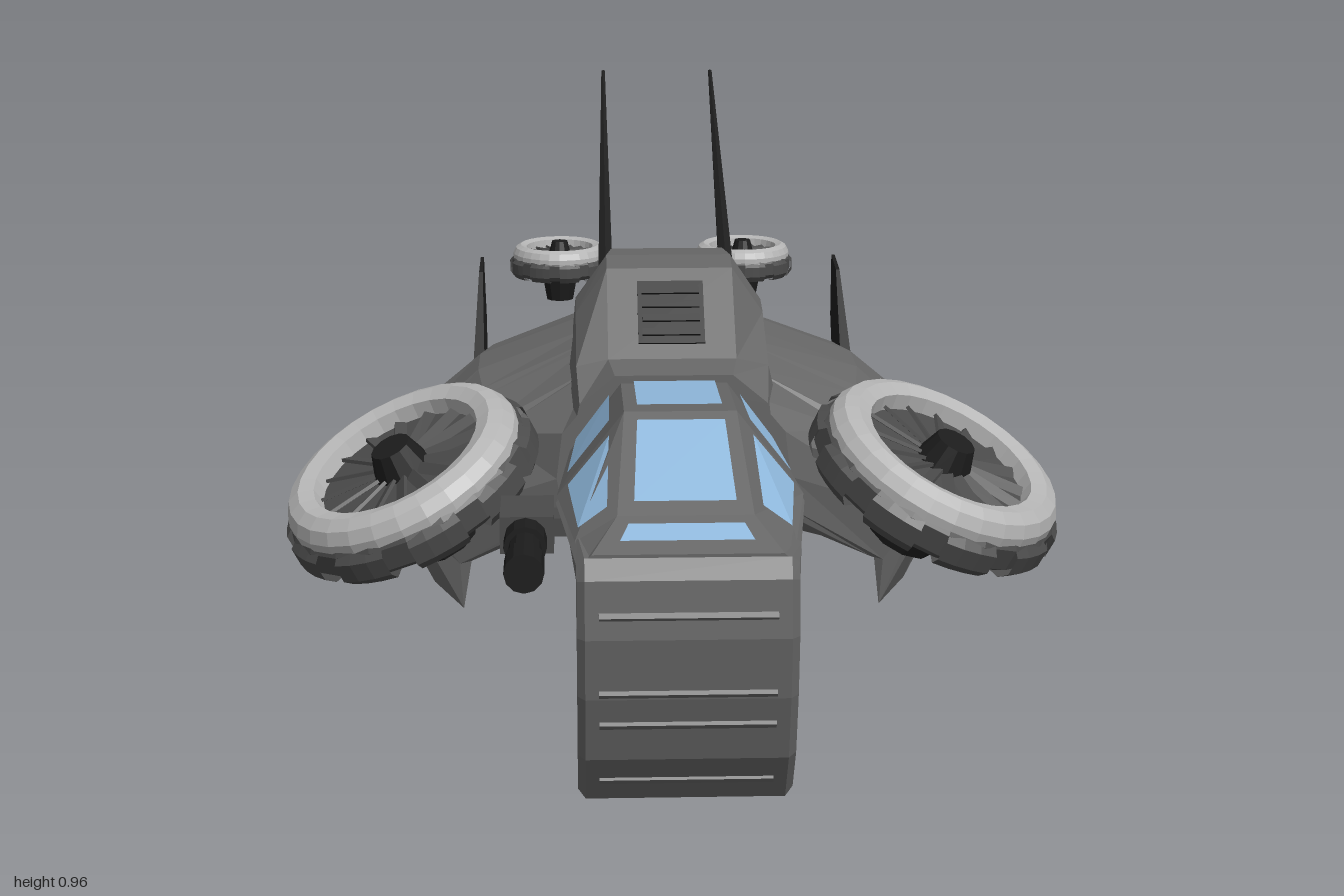
import * as THREE from 'three';

const mat = (color, side = THREE.FrontSide) =>
  new THREE.MeshStandardMaterial({ color, side, flatShading: true });
const BODY = mat(0x666666, THREE.DoubleSide), DARK = mat(0x4a4a4a, THREE.DoubleSide), BLACK = mat(0x1c1c1c);
const RING = mat(0xb4b4b4), GLASS = mat(0x8fb8dc, THREE.DoubleSide);

function add(parent, name, geometry, material, x = 0, y = 0, z = 0) {
  const mesh = new THREE.Mesh(geometry, material);
  mesh.name = name;
  mesh.position.set(x, y, z);
  parent.add(mesh);
  return mesh;
}

// Closed loft: rings run counter-clockwise seen from the front, ordered front to back
function loft(rings) {
  const n = rings[0].pts.length, pos = [], index = [];
  rings.forEach(({ z, pts }) => pts.forEach(([x, y]) => pos.push(x, y, z)));
  for (let i = 0; i < rings.length - 1; i++) {
    for (let j = 0; j < n; j++) {
      const a = i * n + j, b = i * n + (j + 1) % n, c = b + n, d = a + n;
      index.push(a, d, b, b, d, c);
    }
  }
  const cap = (k, flip) => {
    const contour = rings[k].pts.map(([x, y]) => new THREE.Vector2(x, y));
    for (const [a, b, c] of THREE.ShapeUtils.triangulateShape(contour, []))
      index.push(k * n + a, k * n + (flip ? c : b), k * n + (flip ? b : c));
  };
  cap(0, false);
  cap(rings.length - 1, true);
  const g = new THREE.BufferGeometry();
  g.setAttribute('position', new THREE.Float32BufferAttribute(pos, 3));
  g.setIndex(index);
  g.computeVertexNormals();
  return g;
}

// Full ring from the right half, listed bottom to top
const mirrorRing = (half) => [...half, ...half.map(([x, y]) => [-x, y]).reverse()];

// Plate with a (z, y) outline, centred on x = 0
function plate(points, width, bevel = 0) {
  const shape = new THREE.Shape(points.map(([z, y]) => new THREE.Vector2(z, y)));
  const g = new THREE.ExtrudeGeometry(shape, {
    depth: width - 2 * bevel, bevelEnabled: bevel > 0, bevelSize: bevel,
    bevelThickness: bevel, bevelOffset: -bevel, bevelSegments: 1,
  });
  return g.translate(0, 0, bevel - width / 2).rotateY(-Math.PI / 2);
}

// Window pane inset in a four-cornered facet and lifted off it
function pane(parent, corners, u0, v0) {
  const p = corners.map((c) => new THREE.Vector3(...c));
  const at = (u, v) => p[0].clone().lerp(p[1], u).lerp(p[3].clone().lerp(p[2], u), v);
  const normal = p[2].clone().sub(p[0]).cross(p[3].clone().sub(p[1])).normalize();
  if (normal.y < 0) normal.negate();
  const q = [[u0, v0], [1 - u0, v0], [1 - u0, 1 - v0], [u0, 1 - v0]]
    .map(([u, v]) => at(u, v).addScaledVector(normal, 0.006));
  const g = new THREE.BufferGeometry().setFromPoints([q[0], q[1], q[2], q[0], q[2], q[3]]);
  g.computeVertexNormals();
  add(parent, 'windowPane', g, GLASS);
}

// Ducted fan with its axis along y
function fan(name, radius) {
  const g = new THREE.Group();
  g.name = name;
  const lathe = (pts, seg, ...arc) =>
    new THREE.LatheGeometry(pts.map(([x, y]) => new THREE.Vector2(x, y)), seg, ...arc);
  add(g, 'fanRing', lathe([[0.213, -0.01], [0.212, 0.02], [0.2, 0.04], [0.178, 0.05], [0.152, 0.042], [0.146, 0.01]], 28), RING);
  add(g, 'fanShroud', lathe([[0, -0.055], [0.2, -0.055], [0.218, -0.04], [0.218, 0], [0.205, 0.015]], 20), DARK);
  add(g, 'fanFloor', new THREE.CylinderGeometry(0.15, 0.15, 0.05, 28), DARK, 0, -0.01, 0);
  for (let i = 0; i < 10; i++)
    add(g, 'shroudLug', lathe([[0.18, -0.062], [0.212, -0.06], [0.228, -0.042], [0.228, -0.008], [0.212, 0.004]],
      3, (i / 10) * Math.PI * 2, 0.42), DARK);
  for (let i = 0; i < 16; i++) {
    const a = (i / 16) * Math.PI * 2;
    const blade = add(g, 'fanBlade', new THREE.BoxGeometry(0.1, 0.006, 0.022), DARK, Math.cos(a) * 0.097, 0.017, Math.sin(a) * 0.097);
    blade.rotation.set(0.5, -a, 0, 'YXZ');
  }
  add(g, 'fanHub', new THREE.CylinderGeometry(0.035, 0.052, 0.05, 12), BLACK, 0, 0.035, 0);
  add(g, 'fanMotor', new THREE.CylinderGeometry(0.085, 0.062, 0.095, 10), BLACK, 0, -0.1, 0);
  g.scale.setScalar(radius / 0.23);
  return g;
}

function buildCockpit(root) {
  const g = new THREE.Group();
  g.name = 'cockpit';
  root.add(g);
  // Lower hull with the curled chin, widened at the window sill
  const front = [[0.885, 0], [0.95, 0.09], [0.985, 0.2], [1, 0.3], [0.99, 0.39], [0.97, 0.42]];
  const hull = plate([[0.3, 0.245], [0.67, 0.245], [0.86, 0.245], [0.853, 0.165], [0.825, 0.115], [0.76, 0.068],
    ...front, [0.88, 0.425], [0.67, 0.43], [0.3, 0.43]], 0.336, 0.012);
  const p = hull.attributes.position;
  for (let i = 0; i < p.count; i++) {
    const z = p.getZ(i);
    const bump = z > 0.67 ? (0.97 - z) / 0.3 : 1 - (0.67 - z) / 0.35;
    const rise = THREE.MathUtils.smoothstep(p.getY(i), 0.24, 0.42);
    p.setX(i, p.getX(i) * (1 + 0.19 * Math.max(0, bump) * rise));
  }
  hull.computeVertexNormals();
  add(g, 'noseHull', hull, BODY);
  // Raised slats down the chin
  for (const y of [0.335, 0.21, 0.155, 0.045]) {
    const i = front.findIndex((f) => f[1] > y);
    const [z0, y0] = front[i - 1], [z1, y1] = front[i];
    const slat = add(g, 'chinSlat', new THREE.CylinderGeometry(0.009, 0.009, 0.27, 4), BODY,
      0, y, z0 + (z1 - z0) * (y - y0) / (y1 - y0) - 0.003);
    slat.rotation.z = Math.PI / 2;
  }
  // Canopy shell: [z, sill half width, sill y, roof half width, roof y]
  const rows = [[0.97, 0.155, 0.415, 0.145, 0.425], [0.885, 0.17, 0.42, 0.105, 0.46],
    [0.67, 0.198, 0.43, 0.09, 0.568], [0.38, 0.175, 0.43, 0.09, 0.545]];
  add(g, 'canopyFrame', loft(rows.map(([z, w, y, rw, ry]) => ({ z, pts: mirrorRing([[w, y], [rw, ry]]) }))), BODY);
  for (let i = 0; i < 3; i++) {
    const [z, w, y, rw, ry] = rows[i], [z2, w2, y2, rw2, ry2] = rows[i + 1];
    pane(g, [[-rw, ry, z], [rw, ry, z], [rw2, ry2, z2], [-rw2, ry2, z2]], 0.12, i ? 0.11 : 0.28);
    if (i) for (const s of [1, -1])
      pane(g, [[s * w, y, z], [s * w2, y2, z2], [s * rw2, ry2, z2], [s * rw, ry, z]], 0.12, 0.18);
  }
  // Side gun
  add(g, 'gunMount', new THREE.BoxGeometry(0.085, 0.06, 0.12), DARK, -0.245, 0.395, 0.71);
  add(g, 'gunStrut', new THREE.BoxGeometry(0.06, 0.03, 0.06), DARK, -0.19, 0.395, 0.7);
  for (const [r, len, z] of [[0.026, 0.12, 0.83], [0.031, 0.07, 0.915], [0.034, 0.07, 0.785]])
    add(g, 'gunBarrel', new THREE.CylinderGeometry(r, r, len, 12).rotateX(Math.PI / 2), BLACK, -0.247, 0.39, z);
}

function buildFuselage(root) {
  // Half sections listed bottom to top: engine hump over a recessed belly, running into the tail boom
  const sections = [
    [0.40, [0.16, 0.25], [0.18, 0.42], [0.16, 0.51], [0.1, 0.56]],
    [0.33, [0.17, 0.25], [0.19, 0.45], [0.165, 0.56], [0.11, 0.572]],
    [0.18, [0.17, 0.30], [0.18, 0.45], [0.165, 0.62], [0.11, 0.70]],
    [0.12, [0.17, 0.34], [0.18, 0.45], [0.165, 0.63], [0.11, 0.712]],
    [0.05, [0.16, 0.36], [0.18, 0.45], [0.165, 0.62], [0.1, 0.71]],
    [0.00, [0.16, 0.37], [0.18, 0.45], [0.165, 0.60], [0.085, 0.67]],
    [-0.23, [0.13, 0.37], [0.175, 0.43], [0.15, 0.525], [0.06, 0.585]],
    [-0.25, [0.13, 0.26], [0.175, 0.43], [0.15, 0.525], [0.06, 0.582]],
    [-0.45, [0.12, 0.285], [0.155, 0.42], [0.13, 0.505], [0.07, 0.522]],
    [-0.75, [0.09, 0.33], [0.115, 0.42], [0.11, 0.5], [0.09, 0.51]],
  ];
  add(root, 'fuselage', loft(sections.map(([z, ...half]) => ({ z, pts: mirrorRing(half) }))), BODY);
  // Intake grille on the hump
  const vent = add(root, 'intakeGrille', new THREE.BoxGeometry(0.115, 0.135, 0.02), BLACK, 0, 0.631, 0.25);
  vent.rotation.x = -0.864;
  for (let i = 0; i < 4; i++)
    add(vent, 'grilleSlat', new THREE.BoxGeometry(0.1, 0.014, 0.008), BLACK, 0, -0.045 + i * 0.03, 0.01);
}

function buildSide(root, s) {
  const g = new THREE.Group();
  g.name = s > 0 ? 'leftSide' : 'rightSide';
  root.add(g);
  // Drooping wing shell with a hollow underside and a thin pointed skirt
  const wing = [
    [0.40, [0.15, 0.32], [0.17, 0.32], [0.18, 0.32], [0.19, 0.33], [0.2, 0.38], [0.19, 0.46], [0.14, 0.52]],
    [0.32, [0.15, 0.28], [0.26, 0.25], [0.35, 0.21], [0.37, 0.205], [0.43, 0.285], [0.31, 0.44], [0.14, 0.55]],
    [0.31, [0.15, 0.28], [0.26, 0.25], [0.355, 0.21], [0.365, 0.12], [0.45, 0.28], [0.32, 0.45], [0.14, 0.55]],
    [0.22, [0.15, 0.30], [0.33, 0.33], [0.40, 0.24], [0.42, 0.14], [0.49, 0.32], [0.33, 0.48], [0.14, 0.57]],
    [0.2, [0.15, 0.31], [0.35, 0.36], [0.42, 0.28], [0.45, 0.19], [0.495, 0.33], [0.33, 0.49], [0.14, 0.575]],
    [0.12, [0.15, 0.35], [0.36, 0.38], [0.44, 0.30], [0.47, 0.21], [0.5, 0.36], [0.34, 0.505], [0.14, 0.58]],
    [0, [0.15, 0.37], [0.35, 0.39], [0.43, 0.31], [0.465, 0.245], [0.49, 0.38], [0.34, 0.505], [0.14, 0.58]],
    [-0.14, [0.15, 0.37], [0.31, 0.39], [0.38, 0.33], [0.41, 0.285], [0.43, 0.4], [0.32, 0.49], [0.13, 0.56]],
    [-0.29, [0.14, 0.37], [0.23, 0.38], [0.30, 0.35], [0.33, 0.335], [0.35, 0.41], [0.28, 0.46], [0.13, 0.53]],
  ];
  add(g, 'wing', loft(wing.map(([z, ...pts]) => ({
    z, pts: s > 0 ? pts : pts.map(([x, y]) => [-x, y]).reverse(),
  }))), BODY);

  // Tilted lift fan and small level tail fan
  const lift = fan('liftFan', 0.232);
  lift.position.set(s * 0.456, 0.39, 0.395);
  lift.quaternion.setFromUnitVectors(new THREE.Vector3(0, 1, 0), new THREE.Vector3(s * 0.41, 0.88, 0.25).normalize());
  g.add(lift);
  const tail = fan('tailFan', 0.108);
  tail.position.set(s * 0.197, 0.505, -0.892);
  tail.scale.y *= 1.3;
  g.add(tail);

  // Tail fork with a slanted end
  const fork = plate([[-0.91, 0.35], [-0.7, 0.35], [-0.7, 0.435], [-0.91, 0.435]], 0.075);
  const p = fork.attributes.position;
  for (let i = 0; i < p.count; i++)
    if (p.getZ(i) < -0.8 && p.getX(i) * s > 0) p.setZ(i, -0.87);
  fork.computeVertexNormals();
  add(g, 'tailFork', fork, BODY, s * 0.055, 0, 0);

  // Rear thruster
  const tube = (r0, r1, len) => new THREE.CylinderGeometry(r0, r1, len, 10).rotateX(Math.PI / 2);
  add(g, 'thrusterBody', tube(0.06, 0.08, 0.16), BODY, s * 0.26, 0.35, -0.3);
  add(g, 'thrusterBand', tube(0.066, 0.066, 0.03), DARK, s * 0.26, 0.35, -0.39);
  add(g, 'thrusterNozzle', tube(0.06, 0.055, 0.055), BODY, s * 0.26, 0.35, -0.43);
  add(g, 'thrusterOutlet', tube(0.045, 0.045, 0.01), BLACK, s * 0.26, 0.35, -0.455);

  // Swept fin, thinning toward its tip
  const fin = plate([[-0.14, 0.45], [-0.27, 0.4], [-0.38, 0.49], [-0.43, 0.6], [-0.33, 0.59]].reverse(), 0.026);
  const f = fin.attributes.position;
  for (let i = 0; i < f.count; i++) f.setX(i, f.getX(i) * (1 - (f.getY(i) - 0.4) * 3.8));
  fin.computeVertexNormals();
  add(g, 'fin', fin, BLACK, s * 0.348, 0, 0);

  // Swept antenna
  const from = new THREE.Vector3(s * 0.11, 0.655, 0.01), to = new THREE.Vector3(s * 0.106, 0.955, -0.52);
  const dir = to.clone().sub(from);
  const rod = add(g, 'antenna', new THREE.CylinderGeometry(0.004, 0.015, dir.length(), 6), BLACK);
  rod.position.copy(from).addScaledVector(dir, 0.5);
  rod.quaternion.setFromUnitVectors(new THREE.Vector3(0, 1, 0), dir.normalize());
}

export function createModel() {
  const root = new THREE.Group();
  root.name = 'gunship';
  buildCockpit(root);
  buildFuselage(root);
  for (const s of [1, -1]) buildSide(root, s);
  return root;
}
